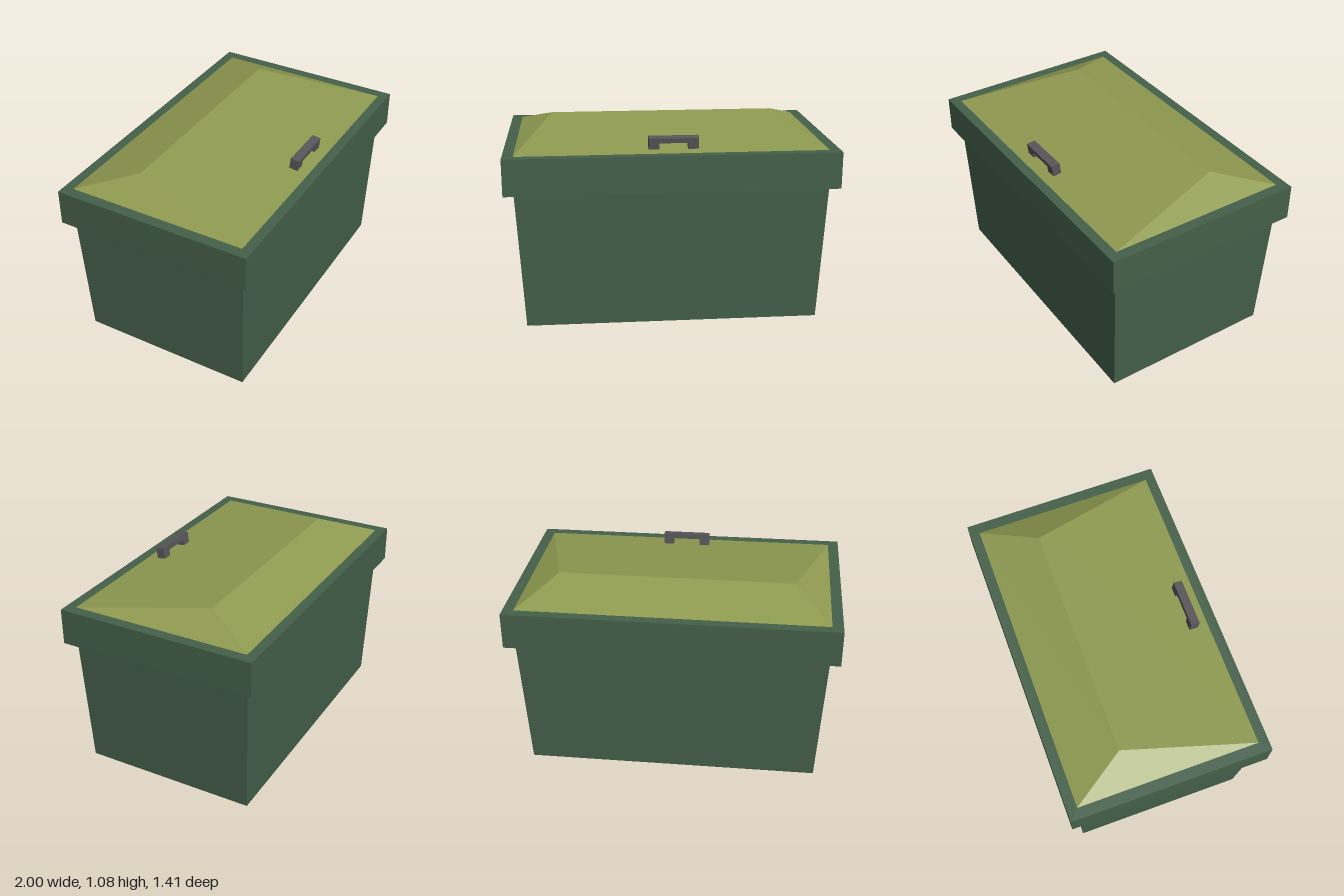
import * as THREE from 'three';

const green = new THREE.MeshStandardMaterial({ color: 0x45604a, side: THREE.DoubleSide, flatShading: true });
green.name = 'dark green';
const olive = new THREE.MeshStandardMaterial({ color: 0x8f9a50, side: THREE.DoubleSide, flatShading: true });
olive.name = 'olive';
const grey = new THREE.MeshStandardMaterial({ color: 0x575558, flatShading: true });
grey.name = 'dark grey';

// Open shell through rectangular sections, each [width, depth, y, z offset]
function rectShell(sections) {
  const rings = sections.map(([w, d, y, z = 0]) =>
    [[-1, 1], [1, 1], [1, -1], [-1, -1]].map(([sx, sz]) => [sx * w / 2, y, z + sz * d / 2]));
  const pos = [];
  for (let r = 0; r < rings.length - 1; r++) {
    for (let i = 0; i < 4; i++) {
      const j = (i + 1) % 4;
      const a = rings[r][i], b = rings[r][j], c = rings[r + 1][j], d = rings[r + 1][i];
      pos.push(...a, ...b, ...c, ...a, ...c, ...d);
    }
  }
  const geo = new THREE.BufferGeometry();
  geo.setAttribute('position', new THREE.Float32BufferAttribute(pos, 3));
  geo.computeVertexNormals();
  return geo;
}

function part(name, geo, material) {
  const mesh = new THREE.Mesh(geo, material);
  mesh.name = name;
  return mesh;
}

export function createModel() {
  const group = new THREE.Group();
  group.name = 'storageBin';

  // Everything stands turned slightly about the vertical axis
  const bin = new THREE.Group();
  bin.name = 'bin';
  bin.rotation.y = 0.147;
  group.add(bin);

  // Tapered body, open below and under the lid
  bin.add(part('body', rectShell([[1.657, 1.01, 0], [1.739, 1.056, 0.783]]), green));

  // Overhanging lid rim with a narrow flat top border
  bin.add(part('lidRim', rectShell([
    [1.85, 1.153, 0.783], [1.85, 1.153, 0.99], [1.728, 1.04, 0.99],
  ]), green));

  // Hipped lid panel, its ridge set towards the back
  bin.add(part('lidPanel', rectShell([
    [1.728, 1.04, 0.99], [1.336, 0, 1.08, -0.212],
  ]), olive));

  // Arched handle, square to the front slope
  const arch = new THREE.Shape([
    [-0.138, -0.01], [-0.08, -0.01], [-0.08, 0.036], [0.08, 0.036],
    [0.08, -0.01], [0.138, -0.01], [0.138, 0.064], [-0.138, 0.064],
  ].map(([x, y]) => new THREE.Vector2(x, y)));
  const handleGeo = new THREE.ExtrudeGeometry(arch, { depth: 0.05, bevelEnabled: false });
  handleGeo.translate(0, 0, -0.025);
  const handle = part('handle', handleGeo, grey);
  handle.position.set(0.008, 1.0, 0.432);
  handle.rotation.x = 0.123;
  bin.add(handle);

  return group;
}
